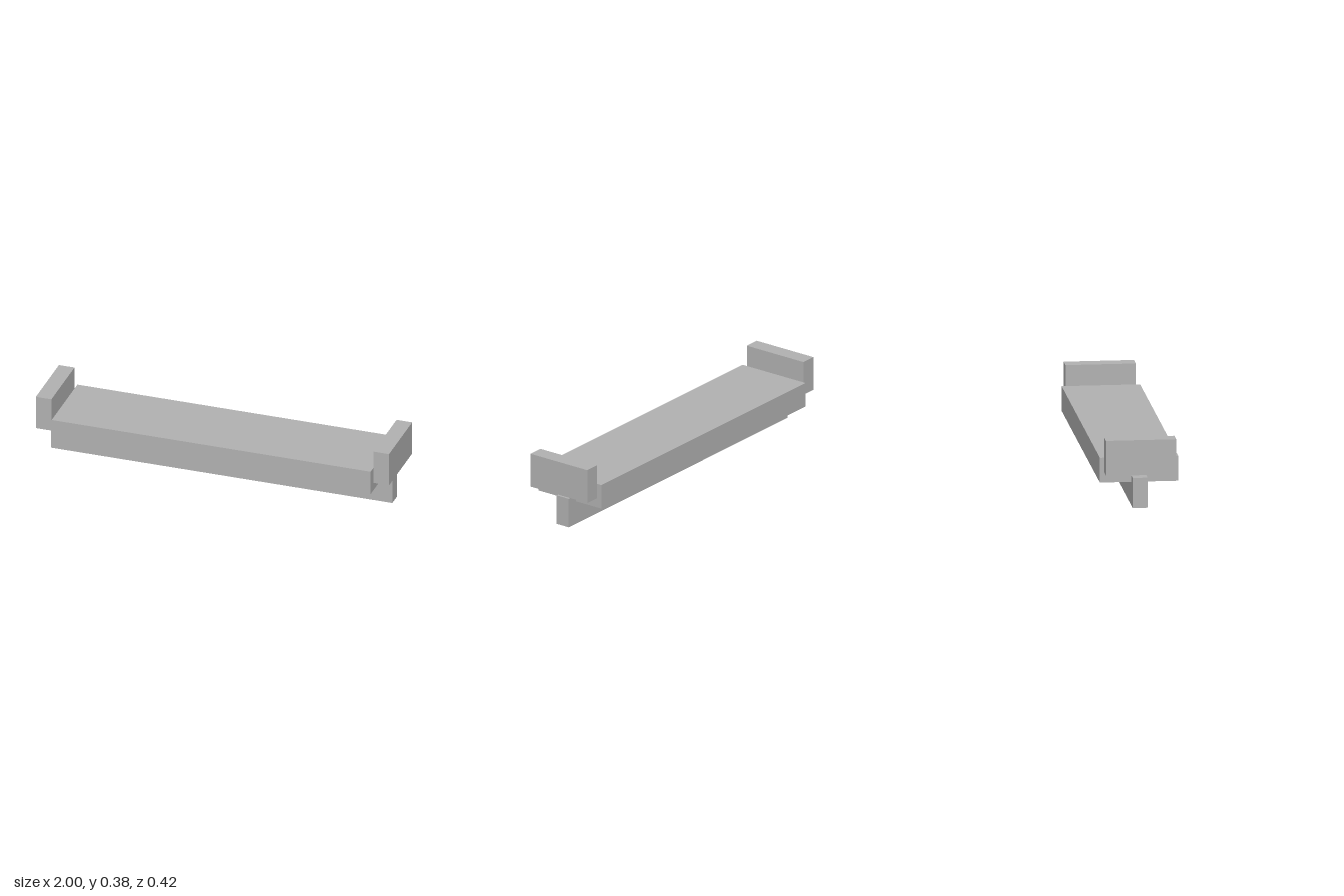
import * as THREE from 'three';

export function createModel() {
  const model = new THREE.Group();
  const grey = new THREE.MeshStandardMaterial({ color: 0xb2b2b2 });
  grey.name = 'grey';

  // A box centred on z = 0, given by its width, depth, bottom and top
  function block(name, width, depth, bottom, top, x = 0) {
    const mesh = new THREE.Mesh(new THREE.BoxGeometry(width, top - bottom, depth), grey);
    mesh.name = name;
    mesh.position.set(x, (bottom + top) / 2, 0);
    model.add(mesh);
  }

  // Narrow rail that carries the slab
  block('baseRail', 1.934, 0.081, 0, 0.165);

  // Wide slab, sunk slightly over the rail
  block('slab', 1.806, 0.424, 0.13, 0.266);

  // Raised blocks just clear of each end of the slab
  for (const [name, side] of [['leftEndBlock', 1], ['rightEndBlock', -1]]) {
    block(name, 0.088, 0.381, 0.189, 0.379, side * 0.956);
  }

  return model;
}
